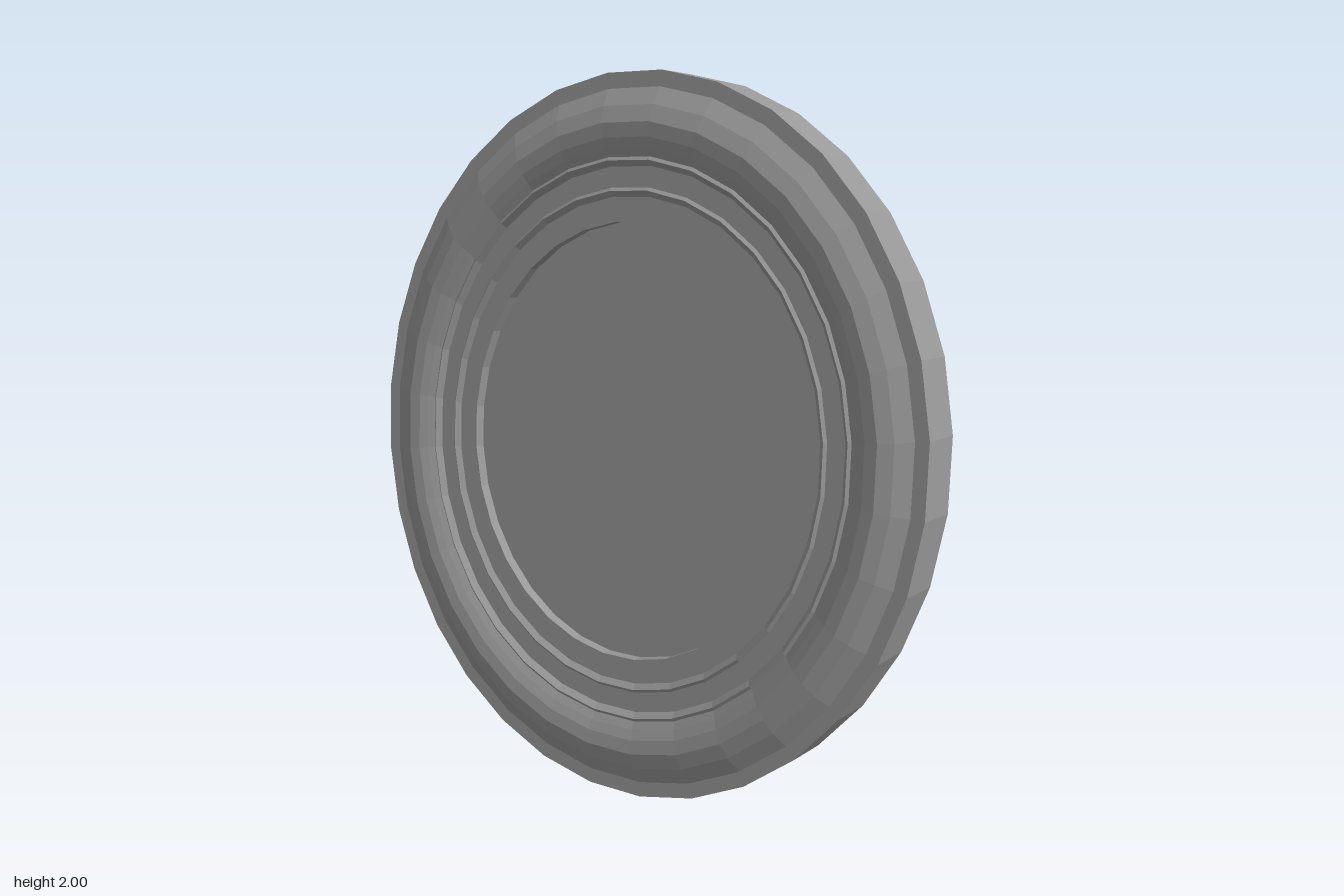
import * as THREE from 'three';

const SEGMENTS = 32;
const OVAL = 1.114; // height of the oval over its width
const HALF_HEIGHT = 1.003;

export function createModel() {
  const model = new THREE.Group();
  model.name = 'standingOvalFrame';
  const material = new THREE.MeshStandardMaterial({ color: 0x989898, flatShading: true });

  const add = (parent, name, geometry) => {
    const mesh = new THREE.Mesh(geometry, material);
    mesh.name = name;
    parent.add(mesh);
    return mesh;
  };

  // Oval frame, leaning back on its lower rear edge
  const frame = new THREE.Group();
  frame.name = 'frame';
  frame.position.z = 0.2;
  frame.rotation.x = THREE.MathUtils.degToRad(-10.1);
  model.add(frame);

  // Moulding section as [radius, depth]: flat back and rim, bulge, two beaded steps, inner wall
  const section = [
    [0, 0], [0.9, 0], [0.9, 0.135], [0.862, 0.135],
    [0.82, 0.159], [0.78, 0.171], [0.745, 0.167], [0.72, 0.157], [0.7, 0.147],
    [0.692, 0.153], [0.678, 0.138], [0.628, 0.138],
    [0.62, 0.145], [0.606, 0.133], [0.545, 0.133], [0.545, 0.102],
  ].map(([r, d]) => new THREE.Vector2(r, d));
  const moulding = new THREE.LatheGeometry(section, SEGMENTS);
  moulding.rotateX(Math.PI / 2).scale(1, OVAL, 1).translate(0, HALF_HEIGHT, 0);
  add(frame, 'moulding', moulding);

  // Recessed picture panel
  const panel = new THREE.CircleGeometry(0.545, SEGMENTS);
  panel.scale(1, OVAL, 1).translate(0, HALF_HEIGHT, 0.102);
  add(frame, 'picturePanel', panel);

  // Tapered easel leg, hinged behind the middle of the frame
  const length = 1.208, top = 0.115, bottom = 0.257, thickness = 0.02;
  const outline = new THREE.Shape([
    new THREE.Vector2(-bottom, 0), new THREE.Vector2(bottom, 0),
    new THREE.Vector2(top, length), new THREE.Vector2(-top, length),
  ]);
  const leg = new THREE.ExtrudeGeometry(outline, { depth: thickness, bevelEnabled: false });
  leg.translate(0, 0, -thickness / 2);
  const easel = add(model, 'easelLeg', leg);
  easel.position.set(0, 0.003, -0.335);
  easel.rotation.x = THREE.MathUtils.degToRad(15.2);

  return model;
}
